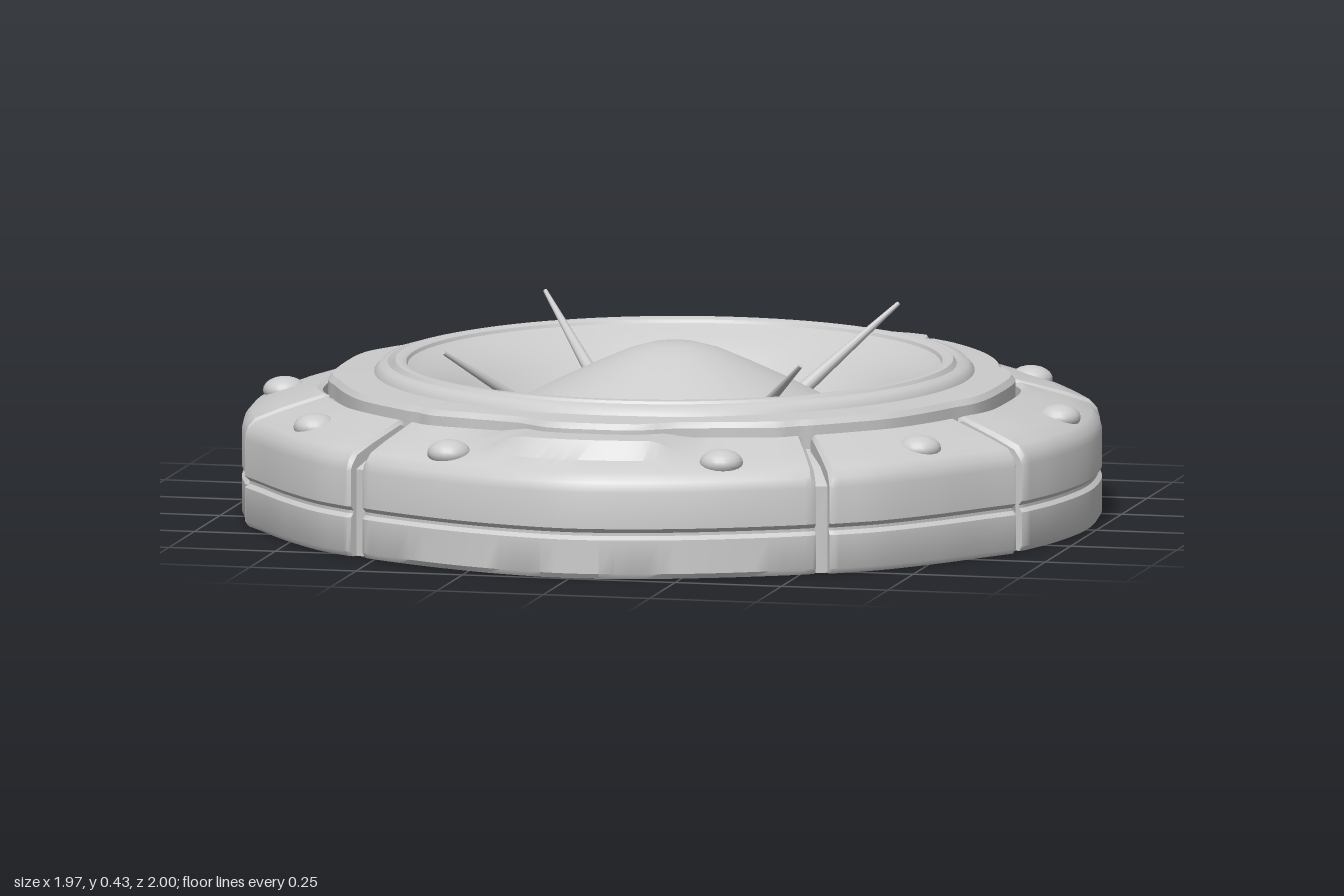
import * as THREE from 'three';
import { toCreasedNormals } from 'three/addons/utils/BufferGeometryUtils.js';

const material = new THREE.MeshStandardMaterial({ color: 0xcccccc, side: THREE.DoubleSide });
const mirror = (pts) => pts.map(([x, z]) => [-x, z]).reverse();
const mix = THREE.MathUtils.lerp;

// Skin rows of [x, y, z] points, bottom row first; optionally closed round, capped at the ends or below.
function loft(rows, { closed = false, endCaps = false, bottomCap = false } = {}) {
  const n = rows[0].length, pos = rows.flat(2), idx = [];
  const at = (j, i) => j * n + (i % n);
  for (let j = 0; j < rows.length - 1; j++) {
    for (let i = 0; i < (closed ? n : n - 1); i++) {
      idx.push(at(j, i), at(j, i + 1), at(j + 1, i + 1), at(j, i), at(j + 1, i + 1), at(j + 1, i));
    }
  }
  const fan = (loop) => {
    const c = pos.length / 3;
    for (let k = 0; k < 3; k++) pos.push(loop.reduce((s, v) => s + pos[v * 3 + k], 0) / loop.length);
    loop.forEach((v, i) => idx.push(c, v, loop[(i + 1) % loop.length]));
  };
  if (endCaps) {
    const column = rows.map((_, j) => j);
    fan(column.map((j) => at(j, 0)).reverse());
    fan(column.map((j) => at(j, n - 1)));
  }
  if (bottomCap) fan(rows[0].map((_, i) => i).reverse());
  const g = new THREE.BufferGeometry();
  g.setAttribute('position', new THREE.Float32BufferAttribute(pos, 3));
  g.setIndex(idx);
  return toCreasedNormals(g, 0.6);
}

// Armour segments as outer and inner edges [x, z], running counter-clockwise seen from above.
const frontOuter = [[0, 1], [0.16, 0.975], [0.31, 0.925], [0.47, 0.845], [0.535, 0.805]];
const frontInner = [[0, 0.79], [0.11, 0.78], [0.19, 0.725], [0.41, 0.665], [0.455, 0.625]];
const backOuter = [[0.54, -0.855], [0.51, -0.915], [0.42, -0.965], [0.25, -0.99], [0, -1]];
const backInner = [[0.45, -0.69], [0.44, -0.745], [0.35, -0.775], [0.2, -0.805], [0, -0.81]];
const whole = (half) => [...mirror(half.slice(1)), ...half];
const rightSegments = [
  { name: 'frontDiagonalSegment',
    outer: [[0.565, 0.795], [0.66, 0.72], [0.77, 0.59], [0.86, 0.46], [0.91, 0.39]],
    inner: [[0.475, 0.615], [0.55, 0.55], [0.63, 0.47], [0.69, 0.37], [0.725, 0.295]] },
  { name: 'sideSegment',
    outer: [[0.915, 0.355], [0.96, 0.2], [0.985, 0], [0.965, -0.2], [0.925, -0.35]],
    inner: [[0.735, 0.27], [0.775, 0.18], [0.79, 0], [0.78, -0.18], [0.74, -0.27]] },
  { name: 'backDiagonalSegment',
    outer: [[0.917, -0.395], [0.85, -0.51], [0.76, -0.65], [0.66, -0.77], [0.575, -0.84]],
    inner: [[0.72, -0.305], [0.69, -0.4], [0.62, -0.53], [0.53, -0.64], [0.47, -0.69]] },
];
const segments = [
  { name: 'frontSegment', outer: whole(frontOuter), inner: whole(frontInner), lip: true },
  ...rightSegments,
  { name: 'backSegment', outer: [...backOuter, ...mirror(backOuter).slice(1)],
    inner: [...backInner, ...mirror(backInner).slice(1)] },
  ...[...rightSegments].reverse().map((s) => ({ ...s, outer: mirror(s.outer), inner: mirror(s.inner) })),
];

// Segment section: [share of the way from outer to inner edge, height].
const section = [[0.15, 0], [0.04, 0], [0, 0.012], [0, 0.09], [0.05, 0.099], [0.05, 0.106], [0, 0.116],
  [0, 0.2], [0.03, 0.222], [0.12, 0.242], [0.4, 0.262], [0.55, 0.271], [0.93, 0.294], [1, 0.288], [1, 0.2]];

function sample(pts, us) {
  const curve = new THREE.CatmullRomCurve3(pts.map(([x, z]) => new THREE.Vector3(x, 0, z)), false, 'centripetal');
  return us.map((u) => { const p = curve.getPoint(u); return [p.x, p.z]; });
}

function segmentGeometry({ outer, inner, lip }) {
  const us = [0, ...Array.from({ length: 37 }, (_, i) => mix(0.02, 0.98, i / 36)), 1];
  const o = sample(outer, us), n = sample(inner, us);
  const rows = section.map(([t, y]) => us.map((u, i) => {
    const inset = u === 0 || u === 1 ? 0.06 : 0; // softened ends
    const s = mix(t, 0.5, inset);
    const x = mix(o[i][0], n[i][0], s), z = mix(o[i][1], n[i][1], s);
    let h = y - (y > 0.2 ? inset * 0.15 : 0);
    // raised lip in the middle of the front segment
    if (lip && t >= 0.5 && y > 0.21) h = mix(h, 0.304, 1 - THREE.MathUtils.smoothstep(Math.abs(x), 0.15, 0.24));
    return [x, h, z];
  }));
  return loft(rows, { endCaps: true });
}

// Closed ring rows made by scaling an outline to each [scale, height].
const scaledRows = (outline, steps) => steps.map(([s, y]) => outline.map(([x, z]) => [x * s, y, z * s]));

export function createModel() {
  const model = new THREE.Group();
  const add = (name, geometry) => {
    const mesh = new THREE.Mesh(geometry, material);
    mesh.name = name;
    model.add(mesh);
    return mesh;
  };

  segments.forEach((s) => add(s.name, segmentGeometry(s)));

  // Recessed core seen in the seams
  const us = Array.from({ length: 17 }, (_, i) => i / 16);
  const outerLine = segments.flatMap((s) => sample(s.outer, us));
  const innerLine = segments.flatMap((s) => sample(s.inner, us));
  add('core', loft(scaledRows(outerLine, [[0.975, 0], [0.975, 0.2], [0.9, 0.235], [0.75, 0.265]]),
    { closed: true, bottomCap: true }));

  // Raised collar inside the segments
  add('collar', loft(scaledRows(innerLine, [[0.985, 0.2], [0.985, 0.312], [0.972, 0.325], [0.8, 0.33]]),
    { closed: true }));

  // Rim, bowl and central dome
  const lathe = (name, pts) => {
    const g = new THREE.LatheGeometry(pts.map(([r, y]) => new THREE.Vector2(r, y)), 96);
    const mesh = add(name, toCreasedNormals(g, 0.6));
    mesh.position.z = -0.035;
    mesh.scale.z = 1.025;
  };
  lathe('rim', [[0.69, 0.3], [0.685, 0.332], [0.672, 0.347], [0.655, 0.352], [0.645, 0.345], [0.637, 0.356],
    [0.625, 0.358], [0.612, 0.352], [0.605, 0.335]]);
  lathe('bowl', [[0.61, 0.345], [0.585, 0.333], [0.54, 0.315], [0.49, 0.28], [0.45, 0.235], [0.42, 0.21], [0.39, 0.205]]);
  lathe('dome', [[0.425, 0.205], [0.41, 0.222], [0.36, 0.255], [0.27, 0.302], [0.18, 0.345], [0.11, 0.376],
    [0.06, 0.391], [0, 0.396]]);

  // Rivets and spikes, mirrored left and right
  for (const side of [1, -1]) {
    for (const [x, z] of [[0.91, -0.01], [0.71, -0.57], [0.32, -0.89], [0.71, 0.525], [0.32, 0.84]]) {
      const rivet = add('rivet', new THREE.SphereGeometry(0.05, 20, 12));
      rivet.position.set(side * x, 0.256, z);
      rivet.scale.y = 0.62;
    }
    for (const [base, tip] of [[[0.235, 0.25, 0.235], [0.42, 0.43, 0.475]], [[0.235, 0.25, -0.275], [0.415, 0.43, -0.5]]]) {
      const a = new THREE.Vector3(...base), b = new THREE.Vector3(...tip);
      a.x *= side;
      b.x *= side;
      const dir = b.clone().sub(a);
      const spike = add('spike', new THREE.CylinderGeometry(0.005, 0.017, dir.length(), 10));
      spike.position.copy(a).add(b).multiplyScalar(0.5);
      spike.quaternion.setFromUnitVectors(new THREE.Vector3(0, 1, 0), dir.normalize());
    }
  }
  return model;
}
